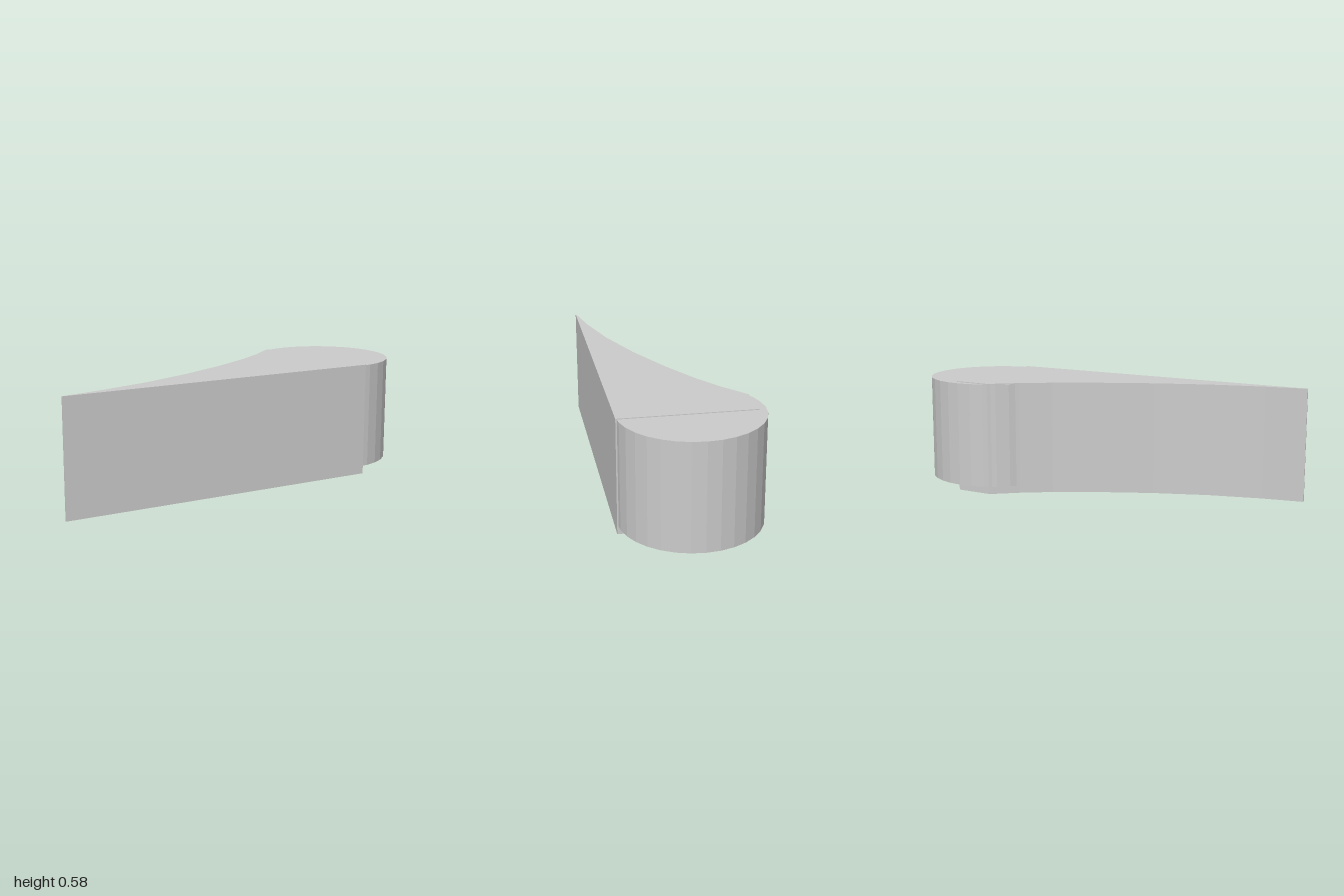
import * as THREE from 'three';

export function createModel() {
  const group = new THREE.Group();
  const material = new THREE.MeshStandardMaterial({ color: 0xcccccc, flatShading: true });

  // Upright round drum at the thick end
  const drum = new THREE.Mesh(new THREE.CylinderGeometry(0.353, 0.353, 0.542, 32), material);
  drum.name = 'roundEnd';
  drum.position.set(0.647, 0.039 + 0.271, -0.002);
  group.add(drum);

  // Tapering tail: plan outline as [x, z], straight front and hollow back
  const outline = [
    [-1, 0.355], [0.68, 0.355], [0.68, -0.317], [0.485, -0.317],
    [0.36, -0.212], [0.22, -0.115], [0, 0.01], [-0.25, 0.13],
    [-0.52, 0.235], [-0.79, 0.31], [-1, 0.351],
  ];
  const shape = new THREE.Shape(outline.map(([x, z]) => new THREE.Vector2(x, -z)));
  const tailGeometry = new THREE.ExtrudeGeometry(shape, { depth: 0.585, bevelEnabled: false });
  tailGeometry.rotateX(-Math.PI / 2);
  const tail = new THREE.Mesh(tailGeometry, material);
  tail.name = 'taperedTail';
  group.add(tail);

  return group;
}
